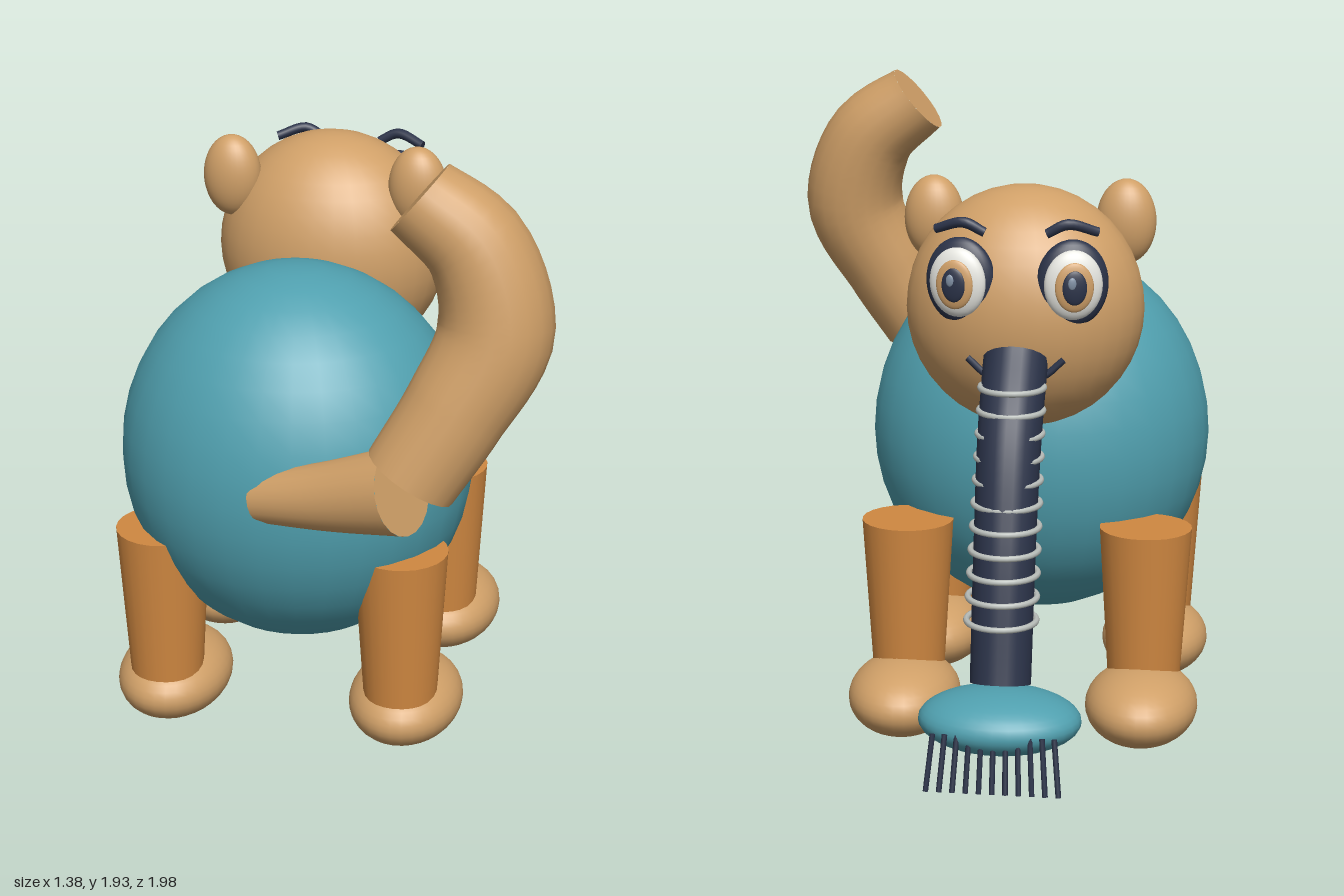
import * as THREE from 'three';

const mat = (name, color, side = THREE.FrontSide) => {
  const m = new THREE.MeshStandardMaterial({ color, side });
  m.name = name;
  return m;
};
const CX = -0.155; // mirror plane of the body
const V = (x, y, z) => new THREE.Vector3(x, y, z);

export function createModel() {
  const model = new THREE.Group();
  const tan = mat('tan', 0xd0a068);
  const teal = mat('teal', 0x50a0af);
  const orange = mat('orange', 0xd08841);
  const navy = mat('navy', 0x2b3349);
  const white = mat('white', 0xe8e8e2);
  const silver = mat('silver', 0xb9beba);
  const glint = mat('glint', 0x7f8fa3);

  const add = (parent, name, geometry, material, pos = [0, 0, 0]) => {
    const mesh = new THREE.Mesh(geometry, material);
    mesh.name = name;
    mesh.position.set(...pos);
    parent.add(mesh);
    return mesh;
  };
  const ellipsoid = (parent, name, material, pos, radii) =>
    add(parent, name, new THREE.SphereGeometry(1, 32, 20).scale(...radii), material, pos);

  // Tube along a smooth path, with a radius per control point and closed ends
  const sweep = (parent, name, material, points, radii, steps = 24, sides = 20) => {
    const group = new THREE.Group();
    group.name = name;
    parent.add(group);
    const curve = new THREE.CatmullRomCurve3(points);
    const radiusAt = (u) => {
      const t = curve.getUtoTmapping(u) * (radii.length - 1);
      const i = Math.min(Math.floor(t), radii.length - 2);
      return THREE.MathUtils.lerp(radii[i], radii[i + 1], t - i);
    };
    const geo = new THREE.TubeGeometry(curve, steps, 1, sides);
    const pos = geo.attributes.position;
    const v = V(0, 0, 0);
    for (let i = 0; i <= steps; i++) {
      const centre = curve.getPointAt(i / steps);
      const r = radiusAt(i / steps);
      for (let j = 0; j <= sides; j++) {
        const k = i * (sides + 1) + j;
        v.fromBufferAttribute(pos, k).sub(centre).multiplyScalar(r).add(centre);
        pos.setXYZ(k, v.x, v.y, v.z);
      }
    }
    add(group, name + 'Side', geo, material);
    for (const u of [0, 1]) {
      const out = curve.getTangentAt(u).multiplyScalar(u ? 1 : -1);
      const cap = add(group, name + 'End', new THREE.CircleGeometry(radiusAt(u), sides), material);
      cap.position.copy(curve.getPointAt(u));
      cap.quaternion.setFromUnitVectors(V(0, 0, 1), out);
    }
    return group;
  };

  // Body and head
  ellipsoid(model, 'body', teal, [CX, 0.86, 0.272], [0.535, 0.585, 0.483]);
  ellipsoid(model, 'head', tan, [CX, 1.352, -0.2], [0.356, 0.363, 0.285]);

  for (const side of [-1, 1]) {
    // Ears
    ellipsoid(model, 'ear', tan, [CX + side * 0.29, 1.592, -0.087], [0.09, 0.128, 0.068]);

    // Legs and feet
    for (const z of [-0.148, 0.488]) {
      add(model, 'leg', new THREE.CylinderGeometry(0.141, 0.11, 0.5, 24), orange,
        [CX + side * 0.367, 0.41, z]);
      ellipsoid(model, 'foot', tan, [CX + side * 0.367, 0.122, z - 0.088], [0.172, 0.118, 0.235]);
    }

    // Eyes, layered from the dark rim out to the glint
    const eye = new THREE.Group();
    eye.name = 'eye';
    eye.position.set(CX + side * 0.162, 1.468, -0.43);
    eye.rotation.y = -side * 0.2;
    model.add(eye);
    ellipsoid(eye, 'eyeRim', navy, [0, 0, 0], [0.105, 0.128, 0.042]);
    ellipsoid(eye, 'eyeWhite', white, [0, 0, -0.028], [0.085, 0.102, 0.034]);
    ellipsoid(eye, 'iris', tan, [0, -0.002, -0.056], [0.056, 0.072, 0.014]);
    ellipsoid(eye, 'pupil', navy, [0, -0.002, -0.065], [0.036, 0.05, 0.01]);
    ellipsoid(eye, 'eyeGlint', glint, [0.008, 0.012, -0.073], [0.012, 0.018, 0.005]);

    // Eyebrows
    sweep(model, 'eyebrow', navy, [
      V(CX + side * 0.09, 1.615, -0.455),
      V(CX + side * 0.15, 1.643, -0.455),
      V(CX + side * 0.235, 1.618, -0.425),
    ], [0.014, 0.016, 0.014], 12, 10);
  }

  // Smile on either side of the trunk
  sweep(model, 'smile', navy, [
    V(CX - 0.14, 1.245, -0.452),
    V(CX - 0.08, 1.195, -0.455),
    V(CX, 1.18, -0.452),
    V(CX + 0.08, 1.195, -0.455),
    V(CX + 0.14, 1.245, -0.452),
  ], [0.01, 0.011, 0.011, 0.011, 0.01], 20, 8);

  // Hose trunk with its rings
  sweep(model, 'trunk', navy, [
    V(CX, 1.24, -0.445),
    V(CX, 1.05, -0.588),
    V(CX, 0.8, -0.685),
    V(CX, 0.375, -0.795),
  ], [0.095, 0.093, 0.09, 0.088]);
  for (let i = 0; i < 11; i++) {
    const t = i / 10;
    const ring = add(model, 'trunkRing', new THREE.TorusGeometry(0.092 + 0.008 * t, 0.009, 8, 32),
      silver, [CX, 1.18 - 0.62 * t, -0.53 - 0.245 * t]);
    ring.rotation.x = Math.PI / 2;
  }

  // Brush head and bristles
  ellipsoid(model, 'brushHead', teal, [CX, 0.272, -0.81], [0.235, 0.09, 0.175]);
  for (let i = 0; i < 11; i++) {
    const s = i / 5 - 1;
    const top = V(CX + s * 0.172, 0.275, -0.958);
    const tip = V(CX + s * 0.188, 0.115, -0.99);
    const dir = tip.clone().sub(top);
    const bristle = add(model, 'bristle', new THREE.CylinderGeometry(0.008, 0.008, dir.length(), 8), navy);
    bristle.position.copy(top).add(tip).multiplyScalar(0.5);
    bristle.quaternion.setFromUnitVectors(V(0, 1, 0), dir.normalize());
  }

  // Tail: a short base, then a thick upward curl
  sweep(model, 'tailBase', tan, [
    V(-0.155, 0.885, 0.69),
    V(0.06, 0.945, 0.765),
    V(0.29, 1.025, 0.85),
  ], [0.075, 0.1, 0.128], 12);
  sweep(model, 'tailCurl', tan, [
    V(0.315, 1.07, 0.85),
    V(0.43, 1.265, 0.81),
    V(0.53, 1.49, 0.762),
    V(0.47, 1.71, 0.735),
    V(0.31, 1.842, 0.73),
  ], [0.137, 0.145, 0.162, 0.145, 0.12]);

  return model;
}
